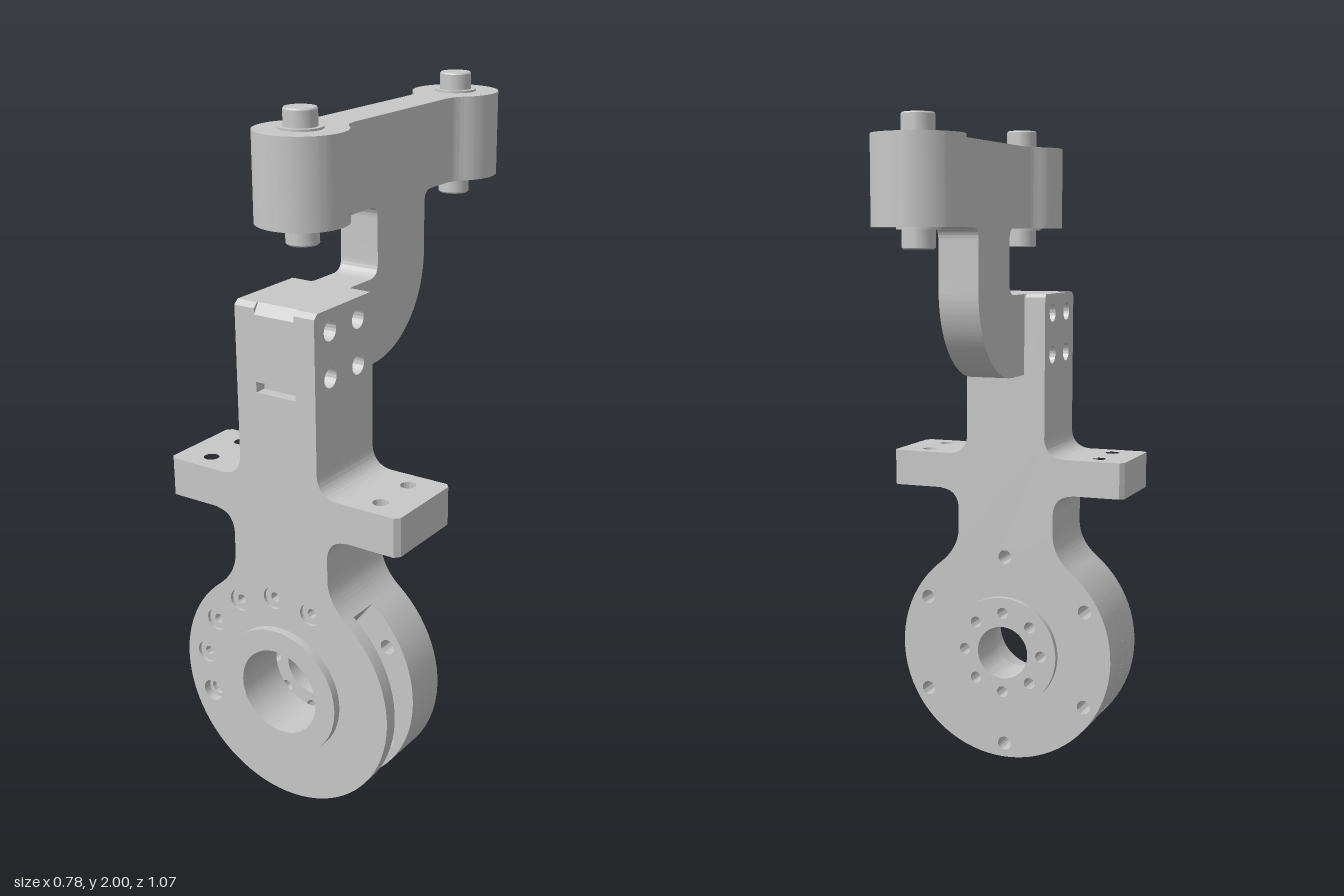
import * as THREE from 'three';
import { toCreasedNormals } from 'three/addons/utils/BufferGeometryUtils.js';

const CY = 0.355; // height of the ring centre
const rad = (d) => (d * Math.PI) / 180;

function hole(shape, x, y, r) {
  const p = new THREE.Path();
  p.absarc(x, y, r, 0, Math.PI * 2, true);
  shape.holes.push(p);
}

// holes evenly placed around the ring centre
function holeRing(shape, count, ringR, r, start = 90) {
  for (let i = 0; i < count; i++) {
    const a = rad(start + (i * 360) / count);
    hole(shape, ringR * Math.cos(a), CY + ringR * Math.sin(a), r);
  }
}

function disc(x, y, r) {
  const s = new THREE.Shape();
  s.absarc(x, y, r, 0, Math.PI * 2, false);
  return s;
}

function polygon(points) {
  return new THREE.Shape(points.map(([x, y]) => new THREE.Vector2(x, y)));
}

function extrude(shape, depth) {
  return new THREE.ExtrudeGeometry(shape, { depth, bevelEnabled: false, curveSegments: 32 });
}

// front outline of the bracket; the slotted version is cut away on one side
function bodyOutline(slotted) {
  const s = new THREE.Shape();
  const a = rad(52), x = 0.355 * Math.cos(a), y = CY + 0.355 * Math.sin(a);
  s.moveTo(x, y);
  s.quadraticCurveTo(0.16, 0.685, 0.16, 0.75);
  s.lineTo(0.16, 0.815);
  s.quadraticCurveTo(0.165, 0.872, 0.22, 0.875);
  s.lineTo(0.22, 0.99);
  s.lineTo(0.19, 0.99);
  s.quadraticCurveTo(0.135, 0.995, 0.13, 1.05);
  s.lineTo(0.13, 1.2);
  s.lineTo(-0.13, 1.2);
  s.lineTo(-0.13, 1.05);
  s.quadraticCurveTo(-0.135, 0.995, -0.19, 0.99);
  s.lineTo(-0.22, 0.99);
  s.lineTo(-0.22, 0.875);
  s.quadraticCurveTo(-0.165, 0.872, -0.16, 0.815);
  s.lineTo(-0.16, 0.75);
  s.quadraticCurveTo(-0.16, 0.685, -x, y);
  if (slotted) {
    s.absarc(0, CY, 0.355, Math.PI - a, rad(216), false);
    s.absarc(0, CY, 0.215, rad(216), rad(360) + a, false);
  } else {
    s.absarc(0, CY, 0.355, Math.PI - a, Math.PI * 2 + a, false);
  }
  return s;
}

export function createModel() {
  const model = new THREE.Group();
  model.name = 'hingeBracket';
  const metal = new THREE.MeshStandardMaterial({ color: 0xc8c8c8 });
  metal.name = 'light grey metal';

  const add = (name, geometry) => {
    const mesh = new THREE.Mesh(toCreasedNormals(geometry, 0.5), metal);
    mesh.name = name;
    model.add(mesh);
    return mesh;
  };
  // shape (x, y) from z0 to z1
  const alongZ = (name, shape, z0, z1) => add(name, extrude(shape, z1 - z0).translate(0, 0, z0));
  // shape (z, y) from x0 to x1
  const alongX = (name, shape, x0, x1) =>
    add(name, extrude(shape, x1 - x0).rotateY(-Math.PI / 2).translate(x1, 0, 0));
  // shape (x, z) from y0 to y1
  const alongY = (name, shape, y0, y1) =>
    add(name, extrude(shape, y1 - y0).rotateX(Math.PI / 2).translate(0, y1, 0));

  // ring housing and neck in three layers
  const back = bodyOutline(false);
  hole(back, 0, CY, 0.085);
  holeRing(back, 8, 0.13, 0.018);
  holeRing(back, 6, 0.31, 0.022);
  alongZ('backPlate', back, 0.24, 0.375);

  const middle = bodyOutline(true);
  hole(middle, 0, CY, 0.13);
  alongZ('slottedCore', middle, 0.375, 0.47);

  const front = bodyOutline(false);
  hole(front, 0, CY, 0.13);
  const boltAngles = [70, 96, 122, 148, 174, 200];
  const boltAt = (d) => [0.285 * Math.cos(rad(d)), CY + 0.285 * Math.sin(rad(d))];
  boltAngles.forEach((d) => hole(front, ...boltAt(d), 0.033));
  alongZ('frontPlate', front, 0.47, 0.51);

  // screw heads sunk in the front plate
  boltAngles.forEach((d, i) => {
    const head = disc(...boltAt(d), 0.033);
    hole(head, ...boltAt(d), i === 5 ? 0.022 : 0.014);
    alongZ('frontScrew', head, 0.47, i === 5 ? 0.485 : 0.5);
  });

  // raised collars around the bore
  const frontCollar = disc(0, CY, 0.195);
  hole(frontCollar, 0, CY, 0.13);
  alongZ('frontCollar', frontCollar, 0.51, 0.535);
  const backCollar = disc(0, CY, 0.18);
  hole(backCollar, 0, CY, 0.085);
  holeRing(backCollar, 8, 0.13, 0.018);
  alongZ('backCollar', backCollar, 0.22, 0.24);

  // drilled side wings with clipped corners
  for (const s of [1, -1]) {
    const wing = polygon([
      [s * 0.22, 0.24], [s * 0.375, 0.24], [s * 0.388, 0.255],
      [s * 0.388, 0.495], [s * 0.375, 0.51], [s * 0.22, 0.51],
    ]);
    for (const z of [0.305, 0.443]) hole(wing, s * 0.29, z, 0.022);
    alongY(s > 0 ? 'leftWing' : 'rightWing', wing, 0.877, 0.99);
  }

  // upper column: two cheeks and a notched centre, cross-drilled
  const drill = (shape) => {
    for (const z of [0.31, 0.44]) for (const y of [1.31, 1.44]) hole(shape, z, y, 0.028);
    return shape;
  };
  const cheek = () => drill(polygon([
    [0.24, 1.2], [0.51, 1.2], [0.51, 1.487], [0.495, 1.5], [0.25, 1.5], [0.24, 1.49],
  ]));
  alongX('leftCheek', cheek(), 0.065, 0.13);
  alongX('rightCheek', cheek(), -0.13, -0.065);
  const centre = drill(polygon([
    [0.24, 1.2], [0.51, 1.2], [0.51, 1.252], [0.475, 1.252], [0.475, 1.282],
    [0.51, 1.282], [0.51, 1.47], [0.49, 1.5], [0.24, 1.5],
  ]));
  alongX('columnCentre', centre, -0.065, 0.065);

  // curved arm from the column up to the link
  const arm = new THREE.Shape();
  arm.moveTo(0.24, 1.25);
  arm.lineTo(0.24, 1.5);
  arm.lineTo(0.15, 1.5);
  arm.quadraticCurveTo(0.11, 1.5, 0.11, 1.54);
  arm.lineTo(0.11, 1.665);
  arm.quadraticCurveTo(0.11, 1.7, 0.145, 1.7);
  arm.lineTo(-0.17, 1.7);
  arm.quadraticCurveTo(-0.135, 1.7, -0.135, 1.665);
  arm.lineTo(-0.135, 1.52);
  arm.absarc(0.135, 1.52, 0.27, Math.PI, Math.PI * 1.5, false);
  alongX('curvedArm', arm, -0.062, 0.062);

  // top link with an eye at each end
  const ends = [0.375, -0.405], eyeR = 0.128, t = rad(47);
  const ex = eyeR * Math.cos(t), ez = eyeR * Math.sin(t);
  const link = new THREE.Shape();
  link.moveTo(ex, ends[0] - ez);
  link.absarc(0, ends[0], eyeR, -t, Math.PI + t, false);
  link.quadraticCurveTo(-0.062, 0.255, -0.062, 0.215);
  link.lineTo(-0.062, -0.245);
  link.quadraticCurveTo(-0.062, -0.285, -ex, ends[1] + ez);
  link.absarc(0, ends[1], eyeR, Math.PI - t, Math.PI * 2 + t, false);
  link.quadraticCurveTo(0.062, -0.285, 0.062, -0.245);
  link.lineTo(0.062, 0.215);
  link.quadraticCurveTo(0.062, 0.255, ex, ends[0] - ez);
  alongY('topLink', link, 1.7, 1.945);

  // pins with thin collars
  for (const z of ends) {
    const profile = [
      [0, 1.642], [0.043, 1.642], [0.046, 1.646], [0.046, 1.694], [0.061, 1.694],
      [0.061, 1.951], [0.046, 1.951], [0.046, 1.996], [0.043, 2], [0, 2],
    ].map(([x, y]) => new THREE.Vector2(x, y));
    add('pin', new THREE.LatheGeometry(profile, 40).toNonIndexed()).position.z = z;
  }

  return model;
}
